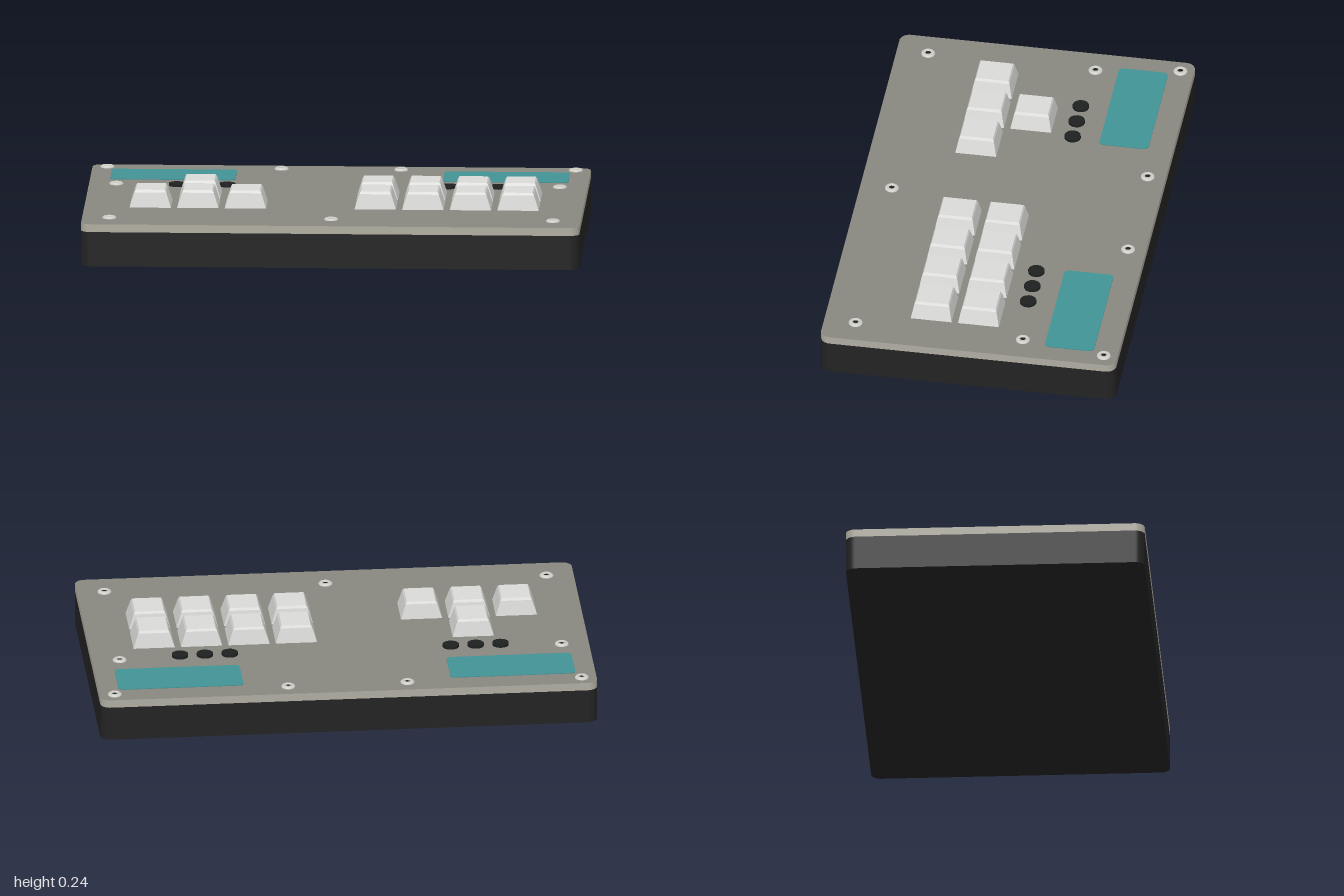
import * as THREE from 'three';

const paint = (name, color) => {
  const m = new THREE.MeshStandardMaterial({ color });
  m.name = name;
  return m;
};

// Rounded slab lying flat, its underside at y = 0
function slab(width, depth, height, r) {
  const x = width / 2, y = depth / 2, s = new THREE.Shape();
  s.absarc(x - r, y - r, r, 0, Math.PI / 2);
  s.absarc(-x + r, y - r, r, Math.PI / 2, Math.PI);
  s.absarc(-x + r, -y + r, r, Math.PI, Math.PI * 1.5);
  s.absarc(x - r, -y + r, r, Math.PI * 1.5, Math.PI * 2);
  s.closePath();
  return new THREE.ExtrudeGeometry(s, { depth: height, bevelEnabled: false, curveSegments: 8 }).rotateX(-Math.PI / 2);
}

// Tapered keycap with a small chamfer around its top
function keycap() {
  const rings = [[0, 0.083, 0.083], [0.06, 0.064, 0.071], [0.07, 0.058, 0.066]];
  const geo = new THREE.BoxGeometry(2, 2, 2, 1, 2, 1).toNonIndexed();
  const p = geo.attributes.position;
  for (let i = 0; i < p.count; i++) {
    const [y, hx, hz] = rings[Math.round(p.getY(i)) + 1];
    p.setXYZ(i, p.getX(i) * hx, y, p.getZ(i) * hz);
  }
  geo.computeVertexNormals();
  return geo;
}

export function createModel() {
  const model = new THREE.Group();
  model.name = 'buttonController';
  const black = paint('case black', 0x232323);
  const plateTop = paint('plate grey', 0x888880);
  const plateEdge = paint('plate edge', 0xb0ada1);
  const teal = paint('screen teal', 0x429396);
  const keyGrey = paint('key light grey', 0xdadad8);
  const buttonBlack = paint('button black', 0x1e2121);
  const steel = paint('screw steel', 0xcfcfc8);

  const add = (name, geo, mat, x, y, z) => {
    const mesh = new THREE.Mesh(geo, mat);
    mesh.name = name;
    mesh.position.set(x, y, z);
    model.add(mesh);
  };
  const TOP = 0.172;

  // Case and top plate
  add('case', slab(2, 1.2, 0.14, 0.04), black, 0, 0, 0);
  add('topPlate', slab(2, 1.2, TOP - 0.14, 0.04), [plateTop, plateEdge], 0, 0.14, 0);

  // Screens and small round buttons, mirrored
  const screen = slab(0.503, 0.2, 0.003, 0.02);
  const button = new THREE.CylinderGeometry(0.033, 0.033, 0.011, 16);
  for (const side of [-1, 1]) {
    add('screen', screen, teal, side * 0.668, TOP, -0.4);
    for (const x of [0.445, 0.545, 0.645]) add('roundButton', button, buttonBlack, side * x, TOP + 0.0055, -0.189);
  }

  // Keys: a block of eight and an arrow cluster of four
  const key = keycap(), pitch = 0.191, back = -0.016, front = 0.176;
  for (let i = 0; i < 4; i++) {
    add('key', key, keyGrey, 0.168 + i * pitch, TOP, back);
    add('key', key, keyGrey, 0.168 + i * pitch, TOP, front);
  }
  for (const i of [-1, 0, 1]) add('arrowKey', key, keyGrey, -0.544 + i * pitch, TOP, front);
  add('arrowKey', key, keyGrey, -0.544, TOP, back);

  // Screws with hex sockets
  const profile = [[0.028, 0], [0.028, 0.004], [0.022, 0.009], [0.012, 0.009], [0.012, 0.002]];
  const head = new THREE.LatheGeometry(profile.map(([x, y]) => new THREE.Vector2(x, y)), 20);
  steel.side = THREE.DoubleSide;
  const socket = new THREE.CylinderGeometry(0.013, 0.013, 0.004, 6);
  const screws = [[0, 0.472]];
  for (const s of [-1, 1]) screws.push([s * 0.94, -0.545], [s * 0.24, -0.528], [s * 0.89, -0.208], [s * 0.89, 0.472]);
  for (const [x, z] of screws) {
    add('screwHead', head, steel, x, TOP, z);
    add('screwSocket', socket, buttonBlack, x, TOP + 0.002, z);
  }
  return model;
}
